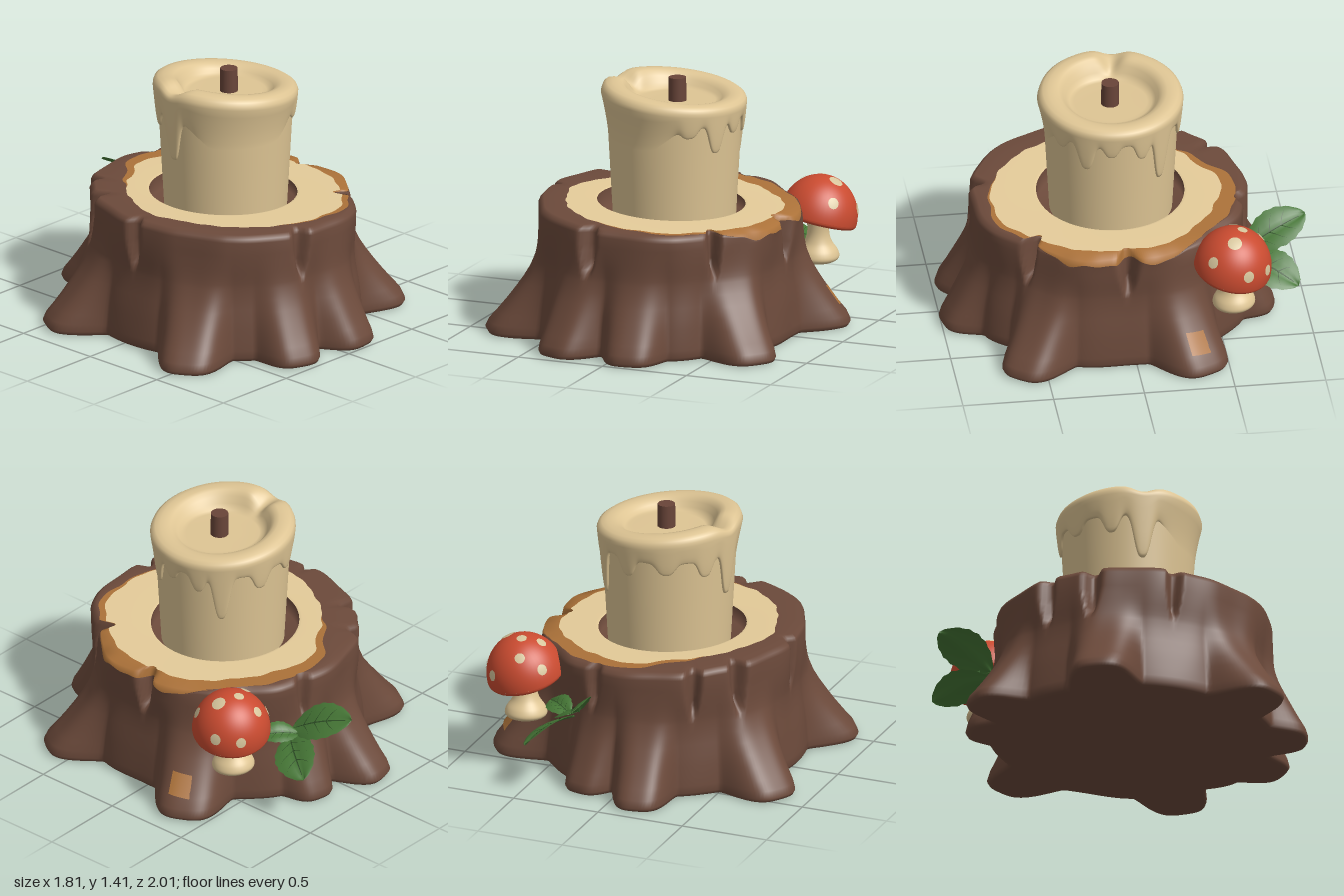
import * as THREE from 'three';

const V = (x, y, z) => new THREE.Vector3(x, y, z);
const RAD = Math.PI / 180;
const { lerp, clamp, smoothstep } = THREE.MathUtils;

const paint = (name, color, side = THREE.FrontSide) => {
  const m = new THREE.MeshStandardMaterial({ color, side });
  m.name = name;
  return m;
};

// angular difference in degrees, and a bump around an angle
const gap = (a, b) => Math.abs(((a - b) % 360 + 540) % 360 - 180);
const bump = (a, centre, width, power = 2) => Math.exp(-Math.pow(gap(a, centre) / width, power));

// smooth closed outline from 16 radii, starting at +x and turning towards +z
const outline = (radii) => (deg) => {
  const t = (((deg % 360) + 360) % 360) / 22.5, i = Math.floor(t);
  return lerp(radii[i % 16], radii[(i + 1) % 16], smoothstep(t - i, 0, 1));
};

// surface through rows; every row maps an angle to [radius, height]
function loft(rows, from = 0, to = 360, n = 360) {
  const closed = to - from === 360, cols = closed ? n : n + 1, pos = [], idx = [];
  for (const row of rows) {
    for (let j = 0; j < cols; j++) {
      const a = from + (to - from) * j / n, [r, y] = row(a);
      pos.push(r * Math.cos(a * RAD), y, r * Math.sin(a * RAD));
    }
  }
  for (let i = 0; i < rows.length - 1; i++) {
    for (let j = 0; j < n; j++) {
      const a = i * cols + j, b = i * cols + (j + 1) % cols;
      idx.push(a, a + cols, b, b, a + cols, b + cols);
    }
  }
  const g = new THREE.BufferGeometry();
  g.setAttribute('position', new THREE.Float32BufferAttribute(pos, 3));
  g.setIndex(idx);
  g.computeVertexNormals();
  return g;
}

export function createModel() {
  const bark = paint('bark', 0x6c4a3b);
  const innerBark = paint('inner bark', 0xac7239);
  const wood = paint('cut wood', 0xe4cb99);
  const wax = paint('wax', 0xdec594);
  const wickBrown = paint('wick brown', 0x694539);
  const red = paint('cap red', 0xca4b30);
  const spotCream = paint('spot cream', 0xd6c59c);
  const green = paint('leaf green', 0x467736, THREE.DoubleSide);
  const darkGreen = paint('vein green', 0x2c4d24, THREE.DoubleSide);

  const model = new THREE.Group();
  const add = (parent, name, geometry, material) => {
    const m = new THREE.Mesh(geometry, material);
    m.name = name;
    parent.add(m);
    return m;
  };
  const centred = (name, x) => {
    const g = new THREE.Group();
    g.name = name;
    g.position.set(x, 0, 0.053);
    model.add(g);
    return g;
  };

  // ---- stump: trunk outline, flaring roots [angle, reach, width], bark cracks [angle, depth, width]
  const trunk = outline([.69, .72, .70, .77, .77, .78, .76, .72, .72, .72, .73, .75, .75, .74, .71, .72]);
  const roots = [[38, 1.0, 13], [82, .96, 11.5], [110, .975, 11.5], [149, 1.02, 13],
    [211, 1.01, 13], [259, 1.01, 11], [283, .9, 10], [-27, .98, 14]];
  const cracks = [[-1, .08, 4.2], [47, .09, 3], [103, .07, 3.4], [180, .05, 3], [217, .08, 3.4], [238, .06, 3], [283, .04, 3]];
  const barkRadius = (a, y) => {
    const base = trunk(a);
    const flare = Math.pow(clamp(1 - (y - 0.05) / 0.63, 0, 1), 2.1);
    let reach = 0.03, cut = 0;
    for (const [c, r, w] of roots) reach = Math.max(reach, (r - base) * bump(a, c, w, 3.6));
    // cracks narrow downwards to a V
    const open = clamp((y - 0.44) / 0.2, 0, 1);
    for (const [c, d, w] of cracks) cut += d * Math.min(1, open * 3) * bump(a, c, w * (0.3 + 0.7 * open), 3);
    const waist = 0.02 * Math.exp(-Math.pow((y - 0.4) / 0.14, 2));
    return base + reach * flare - waist - cut + 0.006 * Math.sin(a * RAD * 13 + y * 5) * (1 - flare);
  };
  const topY = (a, r) => 0.713 - 0.038 * r * Math.cos(a * RAD);
  const woodEdge = outline([.61, .63, .64, .68, .66, .63, .60, .57, .58, .54, .53, .53, .61, .59, .59, .62]);
  const orangeEdge = outline([.665, .70, .675, .715, .67, .63, .60, .57, .58, .54, .53, .57, .68, .69, .675, .695]);
  const ragged = (a) => 0.004 * Math.sin(a * RAD * 17) + 0.003 * Math.sin(a * RAD * 29 + 1);
  const rim = (a) => barkRadius(a, 0.7);
  const edgeO = (a) => Math.min(orangeEdge(a) + ragged(a), rim(a) - 0.018);
  const edgeC = (a) => Math.min(woodEdge(a) + ragged(a), edgeO(a));
  // where the bark has worn away the inner bark reaches over the rim
  const bare = (a) => bump(a, 6, 38, 6);
  const barkEnd = (a) => [lerp(edgeO(a), rim(a), bare(a)), topY(a, edgeO(a)) - (0.048 + 2 * ragged(a)) * bare(a)];
  const towardsEnd = (inset, drop) => (a) => {
    const [r, y] = barkEnd(a);
    return [lerp(Math.max(rim(a) - inset, edgeO(a)), r, bare(a)), lerp(topY(a, 0.7) - drop, y, bare(a))];
  };
  const stump = centred('stump', 0.003);

  const side = [0.03, 0.07, 0.12, 0.18, 0.24, 0.3, 0.36, 0.42, 0.45, 0.48, 0.51, 0.54, 0.58, 0.62];
  add(stump, 'barkAndRoots', loft([
    () => [0, 0.004],
    (a) => [barkRadius(a, 0) - 0.04, 0.004],
    (a) => [barkRadius(a, 0) - 0.012, 0.01],
    ...side.map((y) => (a) => [barkRadius(a, y), y]),
    towardsEnd(0, 0.036),
    towardsEnd(0.008, 0.016),
    towardsEnd(0.03, -0.002),
    barkEnd,
  ]), bark);
  add(stump, 'innerBarkRing', loft([
    barkEnd,
    (a) => [lerp(edgeO(a), Math.max(rim(a) - 0.01, edgeO(a)), bare(a)), topY(a, edgeO(a)) - 0.014 * bare(a)],
    (a) => [edgeC(a), topY(a, edgeC(a))],
  ]), innerBark);
  add(stump, 'cutTop', loft([
    (a) => [edgeC(a), topY(a, edgeC(a))],
    (a) => [0.42, topY(a, 0.42)],
    (a) => [0.405, topY(a, 0.405) - 0.004],
  ]), wood);
  add(stump, 'candleSocket', loft([
    (a) => [0.405, topY(a, 0.405) - 0.004],
    () => [0.40, 0.63],
    () => [0, 0.63],
  ]), bark);
  // chipped patch on a root
  add(stump, 'rootChip', loft([0.125, 0.15, 0.19, 0.232].map((y) => (a) => {
    return [barkRadius(a, y) + 0.006, y + (a + 25) * 0.002];
  }), -29, -21.5, 8), innerBark);

  // ---- candle: tapering body, dripping shell with a dished, tilted top
  const candle = centred('candle', 0.022);
  const waxRadius = (y) => 0.34 + 0.055 * (y - 0.7);
  add(candle, 'candleBody', loft([0.63, 0.8, 1.0, 1.2, 1.3].map((y) => () => [waxRadius(y), y])), wax);
  // [angle, drop, width]
  const drips = [[29, .16, 8], [7, .07, 7], [-20, .1, 7], [-40, .27, 8], [54, .06, 8],
    [-75, .1, 8], [-110, .07, 9], [-145, .1, 8], [188, .25, 9]];
  const plain = (a) => bump(a, 118, 50, 6);
  const lipY = (a) => 1.36 - 0.038 * Math.cos(a * RAD);
  const dripEdge = (a) => {
    let e = lerp(1.215, 1.08, plain(a));
    for (const [c, d, w] of drips) e -= d * bump(a, c, w, 3);
    return e;
  };
  const spill = (a) => bump(a, 188, 11);
  // the shell ends in a thick edge among the drips and fades out smoothly elsewhere
  const shell = [0, 0.02, 0.06, 0.12, 0.25, 0.4, 0.6, 0.8, 1].map((s) => (a) => {
    const e = dripEdge(a), y = lerp(e, lipY(a) - 0.06 - spill(a) * 0.02, s);
    return [waxRadius(y) + lerp(-0.004, 0.0005, plain(a)) + 0.028 * Math.pow(s, lerp(0.18, 1.7, plain(a))), y];
  });
  // [radius, drop below lip, share of the level pool, spill depth]
  const dish = [[.397, .04, 0, .025], [.389, .02, 0, .03], [.37, .006, 0, .035], [.34, 0, 0, .05],
    [.31, .001, 0, .06], [.285, .007, 0, .065], [.262, .02, .15, .06], [.245, .035, .5, .05], [.225, .05, .9, 0],
    [.2, .05, 1, 0], [.1, .05, 1, 0], [0, .05, 1, 0]];
  const top = dish.map(([r, d, w, k]) => (a) => [r, lerp(lipY(a) - d - k * spill(a), 1.285, w)]);
  add(candle, 'meltedWax', loft([...shell, ...top]), wax);
  const wick = add(candle, 'wick', new THREE.CylinderGeometry(0.048, 0.05, 0.16, 20), wickBrown);
  wick.position.set(0.02, 1.335, 0.006);

  // ---- mushroom
  const mushroom = new THREE.Group();
  mushroom.name = 'mushroom';
  mushroom.position.set(0.624, 0.543, -0.535);
  mushroom.rotation.set(-0.19, 0, -0.18);
  model.add(mushroom);
  const lathe = (pts) => new THREE.LatheGeometry(
    new THREE.SplineCurve(pts.map(([x, y]) => new THREE.Vector2(x, y))).getPoints(40), 40);
  const R = 0.215, H = 0.235;
  add(mushroom, 'cap', new THREE.SphereGeometry(1, 48, 24, 0, Math.PI * 2, 0, Math.PI / 2).scale(R, H, R), red);
  add(mushroom, 'capUnderside', lathe([[0, .02], [.1, .015], [.17, -.015], [.2, -.022], [.212, -.012], [R, 0]]), red);
  const stem = add(mushroom, 'stem', lathe([[0, -.25], [.08, -.25], [.115, -.228], [.108, -.19],
    [.075, -.14], [.06, -.08], [.065, 0], [.08, .04]]), wax);
  stem.rotation.set(0.24, 0, 0.15);
  // cap spots [x, z, size]
  const spots = [[-.62, .1, .13], [-.19, -.06, .13], [.31, .18, .18], [-.3, -.6, .13], [.57, .66, .14],
    [-.78, -.5, .13], [.88, -.25, .14], [.5, -.78, .13]];
  for (const [x, z, size] of spots) {
    const dir = V(x, Math.sqrt(Math.max(0.03, 1 - x * x - z * z)), z).normalize();
    const g = new THREE.SphereGeometry(1.02, 16, 4, 0, Math.PI * 2, 0, size);
    g.applyQuaternion(new THREE.Quaternion().setFromUnitVectors(V(0, 1, 0), dir)).scale(R, H, R);
    add(mushroom, 'capSpot', g, spotCream);
  }

  // ---- leaves: arched blades with a folded midrib and raised veins
  const leaf = (base, tip, across, half) => {
    const group = new THREE.Group();
    group.name = 'leaf';
    model.add(group);
    const axis = tip.clone().sub(base);
    const normal = across.clone().cross(axis).normalize();
    if (normal.y < 0) normal.negate();
    const wide = axis.clone().cross(normal).normalize();
    const at = (u, v, lift = 0) => {
      const w = half * Math.pow(Math.sin(Math.PI * Math.pow(u, 1.05)), 0.6) * (1 + 0.03 * Math.sin(u * 40));
      const rise = 0.025 * Math.abs(v) * (1.4 - Math.abs(v)) + 0.03 * Math.sin(Math.PI * u) + lift;
      return base.clone().addScaledVector(axis, u).addScaledVector(wide, w * v).addScaledVector(normal, rise);
    };
    const sheet = (f, nu, nv) => {
      const g = new THREE.PlaneGeometry(1, 1, nu, nv), p = g.attributes.position;
      for (let i = 0; i < p.count; i++) p.setXYZ(i, ...f(p.getX(i) + 0.5, p.getY(i) * 2).toArray());
      g.computeVertexNormals();
      return g;
    };
    const inside = (u) => clamp(u, 0.001, 0.999);
    add(group, 'leafBlade', sheet((u, v) => at(inside(u), v), 32, 8), green);
    add(group, 'midrib', sheet((u, v) => at(inside(u * 0.9), v * 0.035, 0.004), 16, 2), darkGreen);
    for (const s of [-1, 1]) for (const u0 of [0.2, 0.4, 0.6]) {
      add(group, 'sideVein', sheet((t, v) => at(u0 + t * 0.17 + v * 0.01 * (1 - t), s * t * 0.75, 0.004), 6, 1), darkGreen);
    }
  };
  leaf(V(.25, .42, -.66), V(.15, .56, -1.0), V(.8, -.55, -.35), 0.115);
  leaf(V(.28, .39, -.66), V(.465, .29, -.925), V(.72, -.48, .55), 0.115);
  leaf(V(.28, .42, -.72), V(.45, .43, -.59), V(.5, -.4, -.7), 0.07);

  return model;
}
